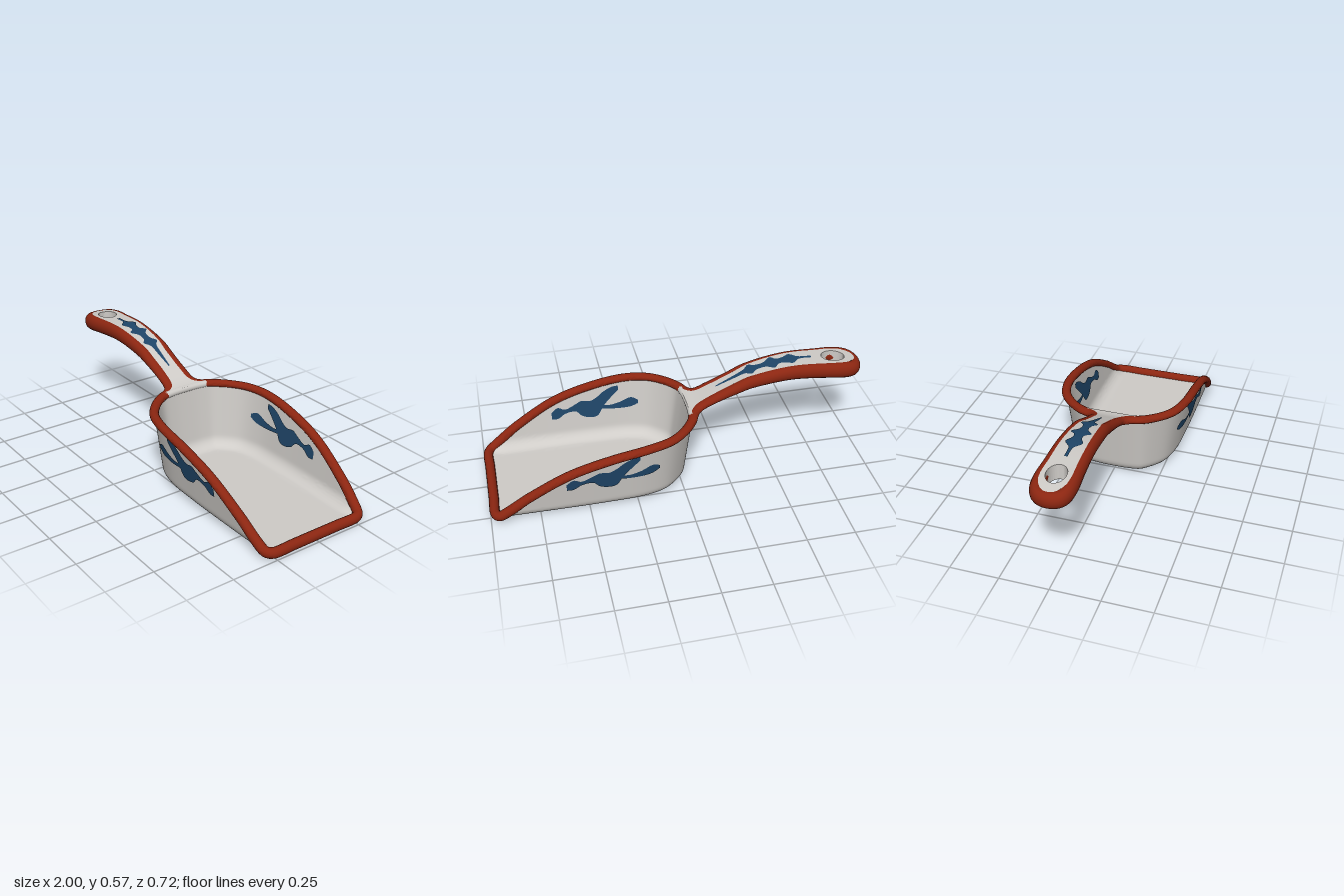
import * as THREE from 'three';
import { toCreasedNormals } from 'three/addons/utils/BufferGeometryUtils.js';

// half outline of handle and bowl rim in plan: x, z
const OUTLINE = [
  [-0.93, 0.066], [-0.87, 0.076], [-0.75, 0.072], [-0.5, 0.066], [-0.2, 0.06], [-0.12, 0.07],
  [-0.085, 0.1], [-0.055, 0.165], [0, 0.235], [0.08, 0.295], [0.2, 0.328], [0.4, 0.334],
  [0.6, 0.327], [0.8, 0.31], [0.9, 0.298], [0.955, 0.283],
];
// side profile: x, centre height, half thickness, half width of the rolled edge
const PROFILE = [
  [-1, 0.492, 0.041, 0.032], [-0.9, 0.507, 0.044, 0.032], [-0.8, 0.517, 0.042, 0.03], [-0.6, 0.526, 0.039, 0.028],
  [-0.4, 0.497, 0.034, 0.028], [-0.3, 0.46, 0.028, 0.028], [-0.2, 0.42, 0.023, 0.028], [-0.1, 0.38, 0.02, 0.026],
  [0, 0.368, 0.02, 0.024], [0.2, 0.358, 0.021, 0.024], [0.4, 0.325, 0.022, 0.024], [0.6, 0.262, 0.023, 0.024],
  [0.8, 0.147, 0.024, 0.025], [0.9, 0.072, 0.026, 0.025], [0.95, 0.036, 0.026, 0.025], [0.975, 0.027, 0.027, 0.025],
];

// smooth (Hermite) lookup of column c in a table sorted by x
function lookup(table, x, c = 1) {
  const n = table.length - 1;
  x = Math.min(Math.max(x, table[0][0]), table[n][0]);
  let i = 0;
  while (i < n - 1 && x > table[i + 1][0]) i++;
  const slope = (k) => {
    const a = table[Math.max(k - 1, 0)], b = table[Math.min(k + 1, n)];
    return (b[c] - a[c]) / (b[0] - a[0]);
  };
  const a = table[i], b = table[i + 1], h = b[0] - a[0], t = (x - a[0]) / h;
  const t2 = t * t, t3 = t2 * t;
  return a[c] * (2 * t3 - 3 * t2 + 1) + b[c] * (3 * t2 - 2 * t3)
    + h * slope(i) * (t3 - 2 * t2 + t) + h * slope(i + 1) * (t3 - t2);
}
const width = (x) => lookup(OUTLINE, x);
const height = (x) => lookup(PROFILE, x);
const halfThick = (x) => lookup(PROFILE, x, 2);

// surface from a rule fn(u, v) -> [x, y, z]
function surface(nu, nv, fn, crease = 1) {
  const g = new THREE.PlaneGeometry(1, 1, nu, nv);
  const { position, uv } = g.attributes;
  for (let i = 0; i < position.count; i++) position.setXYZ(i, ...fn(uv.getX(i), uv.getY(i)));
  g.deleteAttribute('uv');
  return toCreasedNormals(g, crease);
}

const SLOPE = 0.13, FILLET = 0.06, SHELL = 0.024;
// inset of the wall at height y: draft plus rounded bottom edge
function inset(y) {
  y = Math.max(y, 0);
  const r = Math.max(FILLET - y, 0);
  return -SLOPE * y + FILLET - Math.sqrt(FILLET * FILLET - r * r);
}

// bowl wall and floor, lofted from the rim towards a spine on the floor
function bowlSheet(lift, inward) {
  const half = [[-0.071, 0.09], ...OUTLINE.filter((p) => p[0] > -0.06), [0.972, 0.278]];
  const pts = [...half.slice().reverse().map(([x, z]) => [x, -z]), [-0.075, 0], ...half];
  const N = 140;
  const rim = new THREE.CatmullRomCurve3(pts.map(([x, z]) => new THREE.Vector3(x, 0, z))).getSpacedPoints(N);
  return surface(N, 30, (u, v) => {
    const i = Math.round(u * N), p = rim[i];
    const a = rim[Math.max(i - 1, 0)], b = rim[Math.min(i + 1, N)];
    const len = Math.hypot(b.x - a.x, b.z - a.z);
    const nx = (b.z - a.z) / len, nz = -(b.x - a.x) / len;
    const top = Math.max(height(p.x), lift), s = Math.min(v / 0.7, 1);
    const y = lift + (top - lift) * (1 - s) ** 2;
    const d = inward + inset(y - lift) - inset(top - lift);
    const x = p.x + nx * d, z = p.z + nz * d;
    const f = Math.max((v - 0.7) / 0.3, 0);
    const spine = Math.min(Math.max(x, 0.27), 0.97);
    return [x + (spine - x) * f, y, z * (1 - f)];
  });
}

// rolled edge running around handle, rim and pouring lip
function rolledEdge() {
  const half = [[-0.957, 0.045], ...OUTLINE, [0.974, 0.255], [0.975, 0.13]];
  const pts = [[-0.969, 0], ...half, [0.975, 0], ...half.slice().reverse().map(([x, z]) => [x, -z])];
  const N = 420;
  const path = new THREE.CatmullRomCurve3(pts.map(([x, z]) => new THREE.Vector3(x, 0, z)), true).getSpacedPoints(N);
  path.forEach((p) => { p.y = height(p.x); });
  const t = new THREE.Vector3(), n = new THREE.Vector3(), up = new THREE.Vector3();
  return surface(N, 16, (u, v) => {
    const i = Math.round(u * N) % N, p = path[i], a = v * Math.PI * 2;
    t.subVectors(path[(i + 1) % N], path[(i + N - 1) % N]).normalize();
    n.set(t.z, 0, -t.x).normalize();
    up.crossVectors(n, t);
    const w = lookup(PROFILE, p.x, 3) * Math.cos(a), h = halfThick(p.x) * Math.sin(a);
    return [p.x + n.x * w + up.x * h, p.y + up.y * h, p.z + n.z * w + up.z * h];
  });
}

// handle faces: side is 1 for the top, -1 for the underside
const faceY = (x, side) => height(x) + side * halfThick(x) * 0.97;
function handleFace(side) {
  return surface(60, 6, (u, v) => {
    const x = -0.75 + 0.69 * u;
    return [x, faceY(x, side), width(x) * (2 * v - 1)];
  });
}

// end of the handle, a ring around the hanging hole
const HOLE_X = -0.85;
const holePoint = (a) => [HOLE_X + 0.063 * Math.cos(a), 0.048 * Math.sin(a)];
function handleEnd(side) {
  const clamp = (k) => Math.min(Math.max(k * Math.SQRT2, -1), 1);
  return surface(64, 5, (u, v) => {
    const a = u * Math.PI * 2, c = Math.cos(a), s = Math.sin(a);
    const ox = HOLE_X + (c > 0 ? clamp(c) * 0.1 : c * 0.119), oz = (c > 0 ? clamp(s) : s) * 0.074;
    const [hx, hz] = holePoint(a);
    const x = hx + (ox - hx) * v;
    return [x, faceY(x, side), hz + (oz - hz) * v];
  });
}
function holeWall() {
  return surface(64, 2, (u, v) => {
    const [x, z] = holePoint(u * Math.PI * 2);
    return [x, faceY(x, 2 * v - 1), z];
  });
}

// brush strokes: x, lower edge, upper edge
const STROKES = [
  [[0.14, 0.215, 0.235], [0.18, 0.195, 0.25], [0.24, 0.188, 0.225], [0.3, 0.19, 0.212], [0.35, 0.195, 0.22]],
  [[0.245, 0.3, 0.325], [0.28, 0.265, 0.32], [0.33, 0.21, 0.295], [0.36, 0.16, 0.27], [0.4, 0.15, 0.25],
    [0.45, 0.165, 0.255], [0.48, 0.195, 0.24], [0.54, 0.19, 0.215], [0.58, 0.165, 0.23], [0.615, 0.165, 0.205]],
];
const HANDLE_STROKE = [
  [-0.73, 0.008], [-0.66, 0.012], [-0.62, 0.042], [-0.58, 0.025], [-0.545, 0.025], [-0.52, 0.05], [-0.48, 0.022],
  [-0.43, 0.022], [-0.4, 0.042], [-0.37, 0.018], [-0.3, 0.01], [-0.22, 0.004],
];
function wallStroke(stroke, side, offset) {
  const x0 = stroke[0][0], x1 = stroke[stroke.length - 1][0];
  return surface(48, 5, (u, v) => {
    const x = x0 + (x1 - x0) * u;
    const lo = lookup(stroke, x, 1), hi = lookup(stroke, x, 2), y = lo + (hi - lo) * v;
    return [x, y, side * (width(x) - SLOPE * (height(x) - y) + offset)];
  });
}

export function createModel() {
  const group = new THREE.Group();
  group.name = 'scoop';
  const material = (name, color) => {
    const m = new THREE.MeshStandardMaterial({ color, side: THREE.DoubleSide });
    m.name = name;
    return m;
  };
  const enamel = material('pale enamel', 0xcfccc8);
  const red = material('rust red', 0x8c2611);
  const blue = material('dark blue', 0x1f4669);
  const add = (name, geometry, mat) => {
    const mesh = new THREE.Mesh(geometry, mat);
    mesh.name = name;
    group.add(mesh);
  };

  // bowl
  add('bowlOutside', bowlSheet(0, 0), enamel);
  add('bowlInside', bowlSheet(SHELL, 0.016), enamel);
  const back = [[-0.066, -0.13], [-0.073, -0.06], [-0.073, 0.06], [-0.066, 0.13]];
  const backCurve = new THREE.CatmullRomCurve3(back.map(([x, z]) => new THREE.Vector3(x, height(x), z)));
  add('backLip', new THREE.TubeGeometry(backCurve, 24, 0.02, 12), enamel);

  // handle
  for (const [label, side] of [['Top', 1], ['Underside', -1]]) {
    add('handle' + label, handleFace(side), enamel);
    add('handleEnd' + label, handleEnd(side), enamel);
  }
  add('hangingHole', holeWall(), enamel);
  add('rolledEdge', rolledEdge(), red);

  // painted decoration
  for (const side of [1, -1]) {
    for (const stroke of STROKES) {
      add('outerBrushStroke', wallStroke(stroke, side, 0.005), blue);
      add('innerBrushStroke', wallStroke(stroke, side, -0.022), blue);
    }
  }
  add('handleBrushStroke', surface(80, 4, (u, v) => {
    const x = -0.73 + 0.51 * u;
    return [x, faceY(x, 1) + 0.004, lookup(HANDLE_STROKE, x) * (2 * v - 1)];
  }), blue);
  return group;
}
